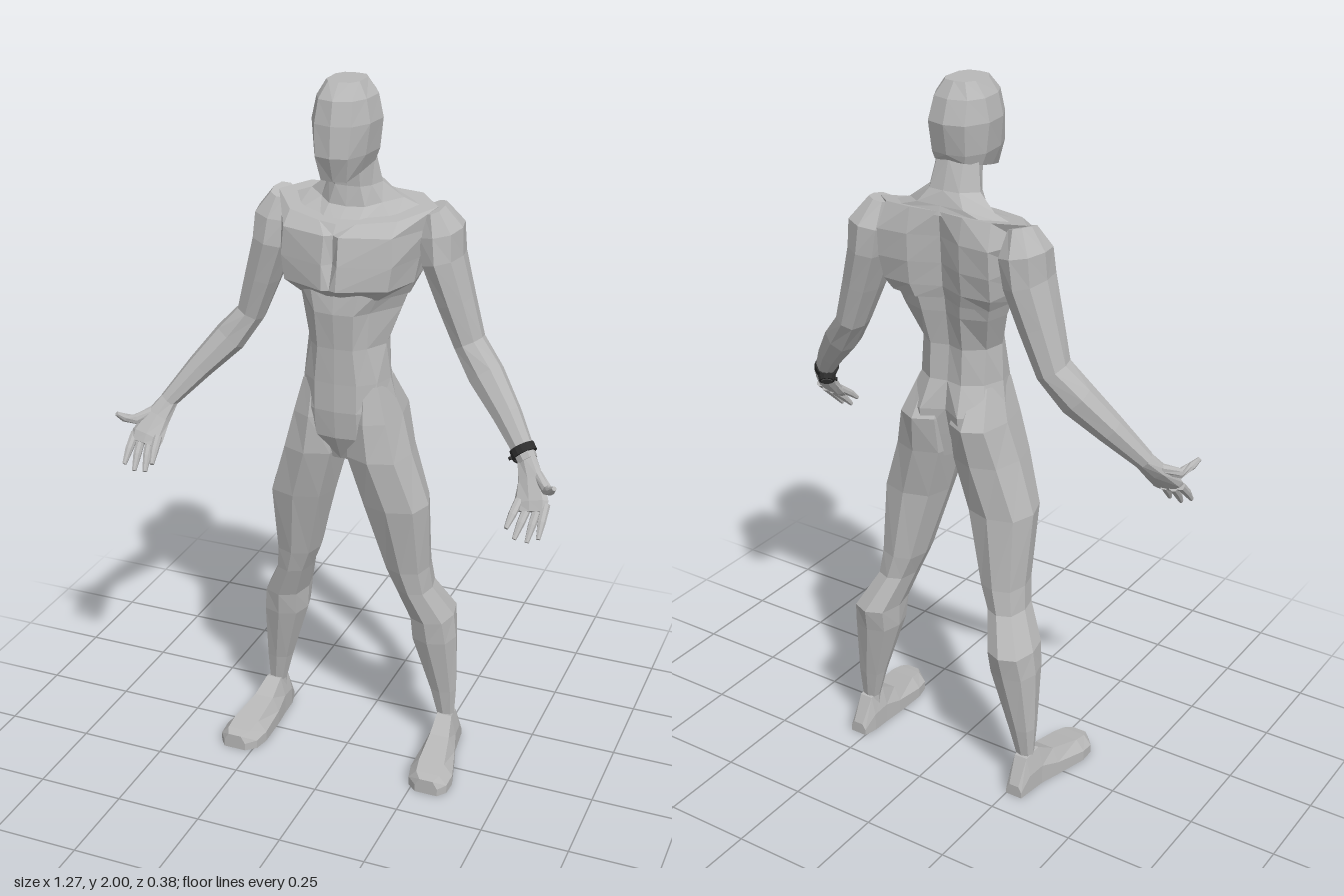
import * as THREE from 'three';

const mat = (name, color, opts) => Object.assign(new THREE.MeshStandardMaterial({ color, flatShading: true }), { name });
const V = (x, y, z) => new THREE.Vector3(x, y, z);

// Closed faceted skin through rings of points; winding is fixed by signed volume.
function loft(rings) {
  const tris = [], n = rings[0].length;
  const mid = r => r.reduce((s, p) => s.add(p), V(0, 0, 0)).divideScalar(n);
  for (let k = 0; k < rings.length - 1; k++) {
    const a = rings[k], b = rings[k + 1];
    for (let i = 0; i < n; i++) {
      const j = (i + 1) % n;
      // mirror the diagonal between the two halves
      if (i < n / 2) tris.push([a[i], a[j], b[j]], [a[i], b[j], b[i]]);
      else tris.push([a[i], a[j], b[i]], [a[j], b[j], b[i]]);
    }
  }
  const first = rings[0], last = rings[rings.length - 1], c0 = mid(first), c1 = mid(last);
  for (let i = 0; i < n; i++) {
    const j = (i + 1) % n;
    tris.push([c0, first[j], first[i]], [c1, last[i], last[j]]);
  }
  const volume = tris.reduce((s, [a, b, c]) => s + a.dot(b.clone().cross(c)), 0);
  const pos = [];
  for (const t of tris) for (const p of volume < 0 ? [t[0], t[2], t[1]] : t) pos.push(p.x, p.y, p.z);
  const g = new THREE.BufferGeometry();
  g.setAttribute('position', new THREE.Float32BufferAttribute(pos, 3));
  g.computeVertexNormals();
  return g;
}

// Symmetric ring: [height, slope along z, then x, z pairs from front centre to back centre].
function mirrored([y, slope, ...xz]) {
  const half = [];
  for (let i = 0; i < xz.length; i += 2) half.push(V(xz[i], y + slope * xz[i + 1], xz[i + 1]));
  const other = half.slice(1, -1).reverse().map(p => V(-p.x, p.y, p.z));
  return [...half, ...other];
}

const octagon = f => Array.from({ length: 8 }, (_, i) => {
  const a = i * Math.PI / 4, k = i % 2 ? 1.08 : 1;
  return f(Math.cos(a) * k, Math.sin(a) * k);
});

// Limb with rings square to its path: [x, y, z, half width, half depth].
function limb(path, s) {
  const c = path.map(p => V(p[0], p[1], p[2]));
  return loft(path.map((p, i) => {
    const t = c[Math.min(i + 1, c.length - 1)].clone().sub(c[Math.max(i - 1, 0)]).normalize();
    const u = t.clone().cross(V(0, 0, 1)).normalize(), v = u.clone().cross(t);
    return octagon((a, b) => {
      const q = c[i].clone().addScaledVector(u, a * p[3]).addScaledVector(v, b * p[4]);
      q.x *= s;
      return q;
    });
  }));
}

const abdomen = [
  [0.965, 0, 0, .05, .02, .05, .03, .03, .04, -.03, .035, -.07, .02, -.08, 0, -.05],
  [1.04, 0, 0, .088, .06, .08, .10, .05, .13, -.03, .11, -.10, .06, -.13, 0, -.085],
  [1.12, 0, 0, .097, .06, .09, .11, .06, .138, -.02, .12, -.10, .06, -.14, 0, -.105],
  [1.20, 0, 0, .095, .06, .088, .105, .05, .122, -.01, .10, -.07, .05, -.105, 0, -.095],
  [1.30, 0, 0, .095, .05, .09, .08, .06, .112, 0, .10, -.06, .05, -.10, 0, -.085],
  [1.40, 0, 0, .105, .055, .098, .085, .06, .145, -.03, .13, -.10, .06, -.125, 0, -.10],
  [1.47, 0, 0, .095, .07, .09, .12, .055, .17, -.03, .15, -.12, .07, -.14, 0, -.11],
];
const chest = [
  [1.44, 0, 0, .085, .02, .085, .11, .06, .165, -.03, .15, -.125, .07, -.14, 0, -.105],
  [1.475, 0, 0, .13, .02, .137, .145, .085, .18, -.02, .165, -.145, .08, -.15, 0, -.115],
  [1.54, 0, 0, .105, .022, .13, .155, .082, .19, -.03, .17, -.16, .08, -.158, 0, -.12],
  [1.615, 0, 0, .10, .02, .115, .15, .075, .21, -.05, .17, -.165, .08, -.16, 0, -.125],
  [1.655, -.2, 0, .08, .05, .07, .15, .03, .225, -.07, .16, -.135, .08, -.145, 0, -.13],
];
const neck = [
  [1.645, -.2, 0, .08, .05, .07, .14, .03, .20, -.07, .15, -.13, 0, -.135],
  [1.67, -.2, 0, .012, .05, .005, .085, -.03, .13, -.07, .07, -.125, 0, -.125],
  [1.72, -.1, 0, .002, .035, 0, .06, -.02, .077, -.055, .045, -.105, 0, -.11],
  [1.81, 0, 0, .01, .03, .005, .055, -.01, .062, -.04, .04, -.075, 0, -.085],
];
const head = [
  [1.78, -.25, 0, .10, .035, .095, .052, .04, .066, -.03, .045, -.08, 0, -.085],
  [1.82, 0, 0, .122, .045, .11, .07, .05, .078, -.03, .05, -.085, 0, -.095],
  [1.90, 0, 0, .115, .05, .10, .08, .045, .087, -.03, .055, -.095, 0, -.11],
  [1.96, 0, 0, .10, .045, .085, .068, .04, .074, -.03, .05, -.075, 0, -.09],
  [2.0, 0, 0, .06, .03, .055, .045, .03, .045, -.03, .03, -.055, 0, -.06],
];
// [height, inner x, outer x, front z, back z]
const leg = [
  [1.19, .03, .118, .07, -.085], [1.09, .008, .15, .09, -.152], [.98, .004, .182, .093, -.13],
  [.83, .045, .232, .068, -.115], [.62, .105, .228, .02, -.128], [.55, .135, .235, .006, -.135],
  [.45, .165, .288, -.018, -.19], [.38, .168, .297, -.03, -.175], [.20, .222, .30, -.07, -.146],
  [.11, .245, .296, -.085, -.13], [.04, .245, .30, -.08, -.14],
];
// [z, inner x, outer x, top height]
const foot = [
  [-.175, .25, .30, .035], [-.135, .24, .305, .11], [-.08, .238, .312, .12], [-.02, .233, .33, .085],
  [.08, .23, .357, .062], [.125, .24, .355, .052], [.15, .268, .335, .045],
];
const arm = [
  [.215, 1.665, -.075, .028, .045], [.232, 1.605, -.085, .058, .08], [.242, 1.53, -.08, .053, .085],
  [.278, 1.42, -.08, .047, .07], [.318, 1.305, -.08, .039, .055], [.375, 1.23, -.055, .047, .05],
  [.45, 1.145, -.01, .037, .04], [.527, 1.05, .045, .025, .026],
];
const palm = [
  [.522, 1.056, .04, .025, .024], [.545, 1.01, .075, .036, .02],
  [.56, .965, .115, .048, .016], [.563, .945, .13, .045, .011],
];
const thumb = [[.56, 1.025, .07, .014, .014], [.60, 1.005, .11, .014, .013], [.618, 1.02, .14, .011, .011], [.631, 1.037, .158, .006, .006]];
// base x, y and tip x, y of each finger
const fingers = [[.60, .965, .602, .897], [.58, .955, .572, .882], [.553, .953, .538, .885], [.528, .965, .515, .912]];

export function createModel() {
  const body = mat('bodyGrey', 0xb8b8b8);
  const strap = mat('strapBlack', 0x2c2c2c);
  const dial = mat('dialGrey', 0x444444);
  const model = new THREE.Group();
  model.name = 'figure';
  const add = (name, geometry, material = body, parent = model) => {
    const m = new THREE.Mesh(geometry, material);
    m.name = name;
    parent.add(m);
    return m;
  };

  // Trunk and head
  for (const [name, rings] of Object.entries({ abdomen, chest, neck, head })) add(name, loft(rings.map(mirrored)));

  // Paired limbs
  for (const [side, s] of [['left', 1], ['right', -1]]) {
    add(side + 'Leg', loft(leg.map(([y, xi, xo, zf, zb]) => octagon((a, b) =>
      V(s * ((xi + xo) / 2 + a * (xo - xi) / 2), y, (zf + zb) / 2 + b * (zf - zb) / 2)))));
    add(side + 'Foot', loft(foot.map(([z, xi, xo, h]) => {
      const w = (xo - xi) * .2;
      return [[xi, 0], [xo, 0], [xo, h * .5], [xo - w, h], [xi + w, h], [xi, h * .5]].map(([x, y]) => V(s * x, y, z));
    })));
    add(side + 'Arm', limb(arm, s));
    const hand = new THREE.Group();
    hand.name = side + 'Hand';
    model.add(hand);
    add('palm', limb(palm, s), body, hand);
    add('thumb', limb(thumb, s), body, hand);
    for (const [x0, y0, x1, y1] of fingers) add('finger', limb([
      [x0, y0, .115, .012, .012], [(x0 + x1) / 2, (y0 + y1) / 2, .152, .011, .011], [x1, y1, .182, .006, .006],
    ], s), body, hand);
  }

  // Wristwatch on the left wrist: strap, case and dial
  const watch = new THREE.Group();
  watch.name = 'wristwatch';
  const along = V(.077, -.095, .055).normalize();
  const out = V(-.7, 0, -.7).addScaledVector(along, -V(-.7, 0, -.7).dot(along)).normalize();
  watch.quaternion.setFromRotationMatrix(new THREE.Matrix4().makeBasis(along.clone().cross(out).negate(), out, along.clone()).multiply(
    new THREE.Matrix4().makeScale(-1, 1, 1)).determinant() > 0
    ? new THREE.Matrix4().makeBasis(along.clone().cross(out).negate(), out, along)
    : new THREE.Matrix4().makeBasis(out.clone().cross(along), out, along));
  watch.position.set(.51, 1.07, .034);
  model.add(watch);
  add('strap', new THREE.CylinderGeometry(.035, .035, .022, 14, 1).rotateX(Math.PI / 2), strap, watch);
  add('case', new THREE.CylinderGeometry(.022, .026, .016, 12).translate(0, .038, 0), strap, watch);
  add('dial', new THREE.CylinderGeometry(.017, .017, .004, 12).translate(0, .047, 0), dial, watch);
  add('crown', new THREE.BoxGeometry(.008, .008, .008).translate(.027, .038, 0), strap, watch);
  return model;
}
